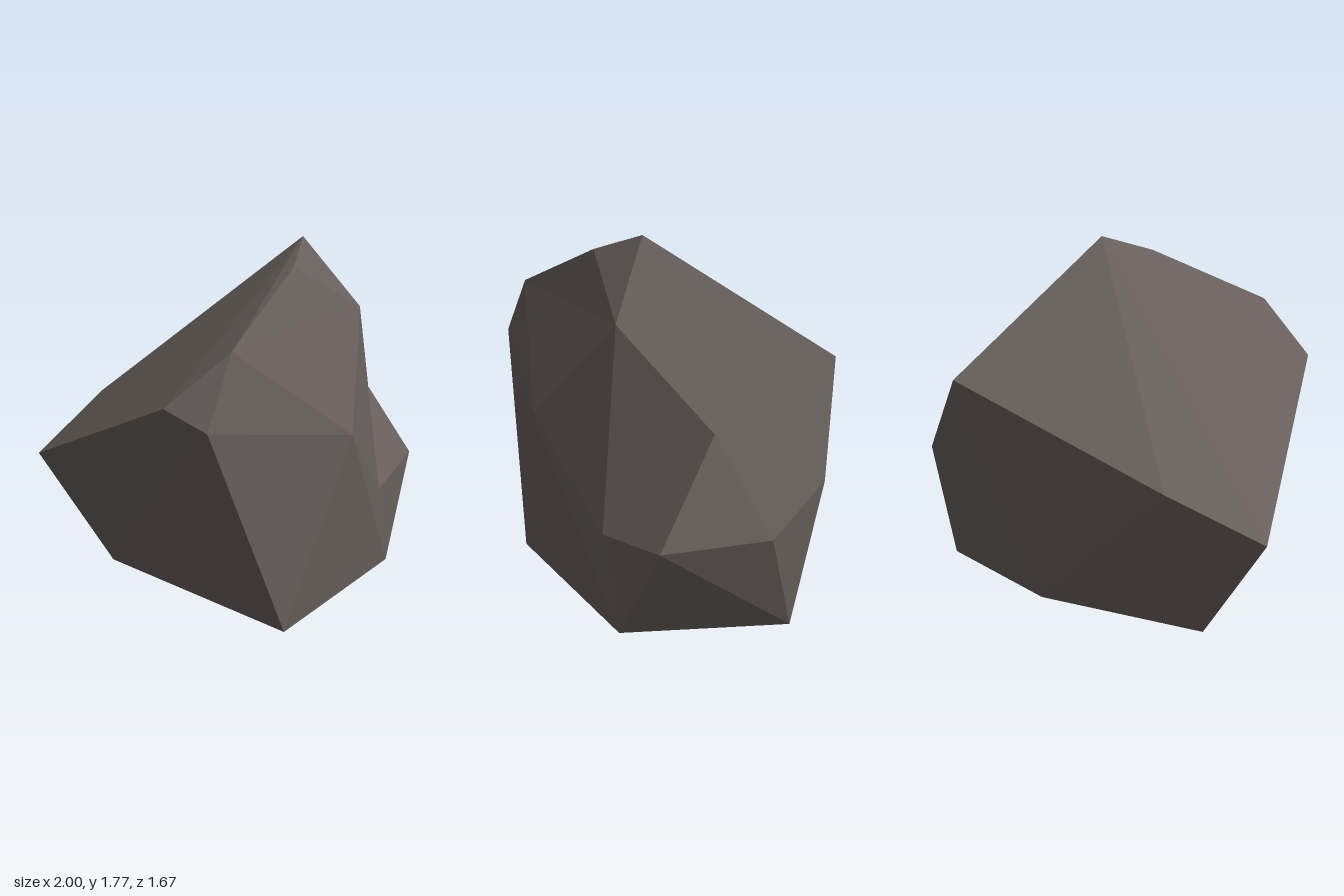
import * as THREE from 'three';

// Corner points of the boulder
const corners = {
  A: [-1.0, 0.68, -0.21], B: [-0.51, 1.19, 0.70], C: [-0.35, 1.11, 0.835], D: [-0.21, 1.42, 0.70],
  E: [0.31, 1.775, 0.045], F: [0.58, 1.435, 0.14], G: [0.405, 0.93, 0.56], H: [0.735, 0.995, -0.305],
  I: [0.705, 0.465, 0.20], J: [0.995, 0.535, -0.085], K: [0.80, 0.0, 0.12], L: [0.04, 0.02, 0.71],
  M: [-0.645, 0.02, -0.21], N: [0.89, 0.57, -0.57], O: [0.39, 1.25, -0.84], P: [0.70, 0.775, -0.795],
  Q: [0.755, 0.06, -0.67], R: [0.19, 1.68, 0.285], S: [-0.63, 0.90, -0.48], T: [0.09, 0.065, -0.62],
};

// Facets as fans: the first corner is the hub, the rest run counterclockwise around it
const fans = {
  frontLeft: 'CBAMLGDB',
  peak: 'ERFHOSABDR',
  shoulder: 'FRDGIH',
  notchAndSide: 'HIJNPO',
  foot: 'KGLMTQJIG',
  rearCorner: 'QTPNJ',
  back: 'TMSOP',
  backEdge: 'SMA',
};

function fanGeometry(fanList) {
  const positions = [];
  for (const [hub, ...ring] of fanList) {
    for (let i = 0; i + 1 < ring.length; i++) {
      positions.push(...corners[hub], ...corners[ring[i]], ...corners[ring[i + 1]]);
    }
  }
  const geometry = new THREE.BufferGeometry();
  geometry.setAttribute('position', new THREE.Float32BufferAttribute(positions, 3));
  geometry.computeVertexNormals(); // unshared corners give flat facets
  return geometry;
}

export function createModel() {
  const stone = new THREE.MeshStandardMaterial({ color: 0x685f5c });
  stone.name = 'stone';
  stone.flatShading = true;

  const boulder = new THREE.Mesh(fanGeometry(Object.values(fans)), stone);
  boulder.name = 'boulder';

  const model = new THREE.Group();
  model.name = 'rock';
  model.add(boulder);
  return model;
}
